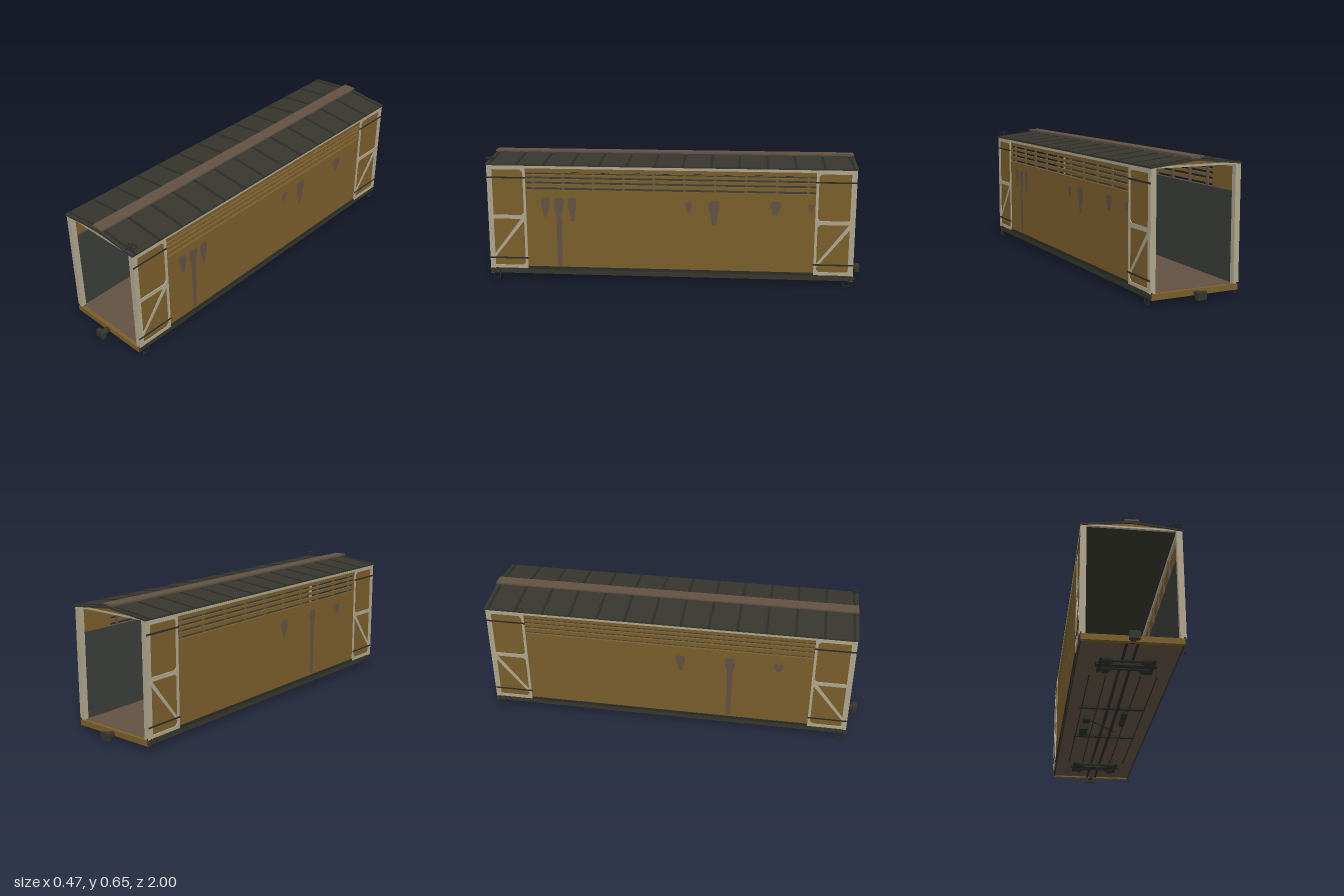
import * as THREE from 'three';

const mat = (name, color) => {
  const m = new THREE.MeshStandardMaterial({ color });
  m.name = name;
  return m;
};

export function createModel() {
  const root = new THREE.Group();
  root.name = 'boxcar';
  const ochre = mat('ochre paint', 0x7a5e2c);
  const cream = mat('cream trim', 0xaea58d);
  const dark = mat('dark roof', 0x36362e);
  const iron = mat('black iron', 0x2b2b27);
  const lining = mat('grey lining', 0x3a3d39);
  const wood = mat('weathered wood', 0x625143);

  const add = (name, geo, material, x = 0, y = 0, z = 0) => {
    const m = new THREE.Mesh(geo, material);
    m.name = name;
    m.position.set(x, y, z);
    root.add(m);
    return m;
  };
  // box given by its limits on each axis
  const box = (name, material, x0, x1, y0, y1, z0, z1) =>
    add(name, new THREE.BoxGeometry(Math.abs(x1 - x0), y1 - y0, z1 - z0), material,
      (x0 + x1) / 2, (y0 + y1) / 2, (z0 + z1) / 2);
  const shapeOf = (pts, Type = THREE.Shape) => new Type(pts.map(p => new THREE.Vector2(p[0], p[1])));
  // outline in (z, y), with its outer face at |x| = outer on side s
  const sidePlate = (name, material, shape, outer, depth, s) => {
    const g = new THREE.ExtrudeGeometry(shape, { depth, bevelEnabled: false });
    g.rotateY(-Math.PI / 2);
    return add(name, g, material, s * (outer - depth / 2) + depth / 2);
  };
  // outline in (x, y), extruded from z0 to z1
  const endPlate = (name, material, pts, z0, z1) =>
    add(name, new THREE.ExtrudeGeometry(shapeOf(pts), { depth: z1 - z0, bevelEnabled: false }), material, 0, 0, z0);
  const rod = (name, material, a, b, r) => {
    const va = new THREE.Vector3(...a), vb = new THREE.Vector3(...b);
    const m = add(name, new THREE.CylinderGeometry(r, r, va.distanceTo(vb), 8), material);
    m.position.copy(va).lerp(vb, 0.5);
    m.quaternion.setFromUnitVectors(new THREE.Vector3(0, 1, 0), vb.sub(va).normalize());
    return m;
  };
  const chamfered = (z0, z1, y0, y1, c) => [
    [z0 + c, y0], [z1 - c, y0], [z1, y0 + c], [z1, y1 - c],
    [z1 - c, y1], [z0 + c, y1], [z0, y1 - c], [z0, y0 + c]];

  // floor and end beams
  box('floor', wood, -0.222, 0.222, 0.034, 0.056, -0.925, 0.925);
  for (const e of [-1, 1])
    add('endBeam', new THREE.BoxGeometry(0.452, 0.028, 0.02), ochre, 0, 0.041, e * 0.935);

  // stains on each side: z, width, top and bottom
  const stains = {
    1: [[0.64, 0.045, 0.44, 0.34], [0.57, 0.05, 0.44, 0.08], [0.5, 0.042, 0.44, 0.32], [-0.1, 0.035, 0.43, 0.375],
      [-0.23, 0.055, 0.44, 0.31], [-0.54, 0.06, 0.44, 0.37], [-0.72, 0.025, 0.43, 0.39]],
    '-1': [[0.07, 0.05, 0.43, 0.34], [0.325, 0.05, 0.44, 0.08], [0.57, 0.045, 0.43, 0.38]],
  };

  for (const s of [1, -1]) {
    // sheathing and slatted ventilation band
    box('sideWall', ochre, s * 0.217, s * 0.229, 0.062, 0.48, -0.742, 0.742);
    box('innerLining', lining, s * 0.207, s * 0.2168, 0.056, 0.48, -0.915, 0.915);
    for (const [y0, y1] of [[0.493, 0.511], [0.523, 0.537], [0.549, 0.561], [0.573, 0.592]])
      box('slat', ochre, s * 0.218, s * 0.229, y0, y1, -0.742, 0.742);
    for (let i = 0; i < 10; i++) {
      const z = (i - 4.5) * 0.156;
      box('slatPost', wood, s * 0.208, s * 0.2178, 0.48, 0.592, z - 0.007, z + 0.007);
    }
    box('topRail', cream, s * 0.207, s * 0.232, 0.592, 0.609, -0.935, 0.935);
    box('sideSill', dark, s * 0.2215, s * 0.228, 0.03, 0.062, -0.944, 0.944);
    box('sillRail', iron, s * 0.224, s * 0.232, 0.056, 0.071, -0.742, 0.742);

    for (const [z, w, y1, y0] of stains[s]) {
      const h = y1 - y0, q = w / 2, tail = w * 0.22;
      sidePlate('stain', wood, shapeOf([
        [z - tail, y0], [z + tail, y0], [z + tail * 1.3, y1 - Math.min(0.09, h * 0.7)],
        [z + q, y1 - Math.min(0.05, h * 0.4)], [z + q, y1 - 0.008], [z + q * 0.6, y1],
        [z - q * 0.7, y1], [z - q, y1 - 0.012], [z - q, y1 - Math.min(0.045, h * 0.4)],
        [z - tail * 1.3, y1 - Math.min(0.08, h * 0.7)]]), 0.2298, 0.001, s);
    }

    for (const e of [1, -1]) {
      const zc = e * 0.84, z0 = zc - 0.1, z1 = zc + 0.1;
      // framed end panel with diagonal brace and straps
      box('endPanel', ochre, s * 0.217, s * 0.229, 0.06, 0.6, z0, z1);
      const frame = shapeOf([[z0, 0.06], [z1, 0.06], [z1, 0.608], [z0, 0.608]]);
      for (const [y0, y1] of [[0.076, 0.325], [0.345, 0.585]])
        frame.holes.push(shapeOf(chamfered(z0 + 0.013, z1 - 0.013, y0, y1, 0.014), THREE.Path));
      sidePlate('panelFrame', cream, frame, 0.2335, 0.0045, s);
      sidePlate('brace', cream, shapeOf([
        [z1 - 0.012, 0.098], [z1 - 0.012, 0.118], [z0 + 0.028, 0.327], [z0 + 0.011, 0.327], [z0 + 0.011, 0.318]]),
      0.2325, 0.0035, s);
      for (const y of [0.115, 0.543])
        box('strap', iron, s * 0.2336, s * 0.2355, y - 0.004, y + 0.004, z0 - 0.002, z1 + 0.004);

      // corner post
      const pz = e * 0.9275;
      box('cornerPost', cream, s * 0.205, s * 0.2315, 0.056, 0.606, pz - 0.0135, pz + 0.0135);

      // stirrup step
      const sz = e * 0.908, sx = s * 0.231;
      for (const d of [-0.016, 0.016]) box('stirrup', iron, sx - 0.002, sx + 0.002, 0.004, 0.06, sz + d - 0.002, sz + d + 0.002);
      box('stirrupTread', iron, sx - 0.002, sx + 0.002, 0.004, 0.008, sz - 0.018, sz + 0.018);
    }
  }

  // roof shell, ribs and running board
  endPlate('roof', dark, [[-0.235, 0.606], [-0.235, 0.615], [0, 0.639], [0.235, 0.615], [0.235, 0.606], [0, 0.63]], -0.945, 0.945);
  for (let i = 0; i < 14; i++) {
    const z = (i - 6.5) * 0.142;
    endPlate('roofRib', iron, [[-0.2355, 0.612], [-0.2355, 0.617], [0, 0.642], [0.2355, 0.617], [0.2355, 0.612], [0, 0.636]], z - 0.006, z + 0.006);
    box('boardSaddle', wood, -0.022, 0.022, 0.634, 0.645, z - 0.008, z + 0.008);
  }
  box('runningBoard', wood, -0.033, 0.033, 0.644, 0.652, -0.943, 0.943);

  // gables
  for (const e of [1, -1]) {
    const z = e * 0.934;
    endPlate('gable', ochre, [[-0.16, 0.6135], [0.16, 0.6135], [0, 0.6305]], z - 0.005, z + 0.005);
    endPlate('gableRail', cream, [[-0.231, 0.605], [0.231, 0.605], [0.15, 0.6145], [-0.15, 0.6145]], z - 0.006, z + 0.006);
  }

  // brake wheel
  const wx = 0.207, wz = 0.925;
  rod('brakeStaff', iron, [wx, 0.61, wz], [wx, 0.641, wz], 0.003);
  add('brakeWheel', new THREE.TorusGeometry(0.0245, 0.0025, 8, 24).rotateX(Math.PI / 2), iron, wx, 0.64, wz);
  add('brakeHub', new THREE.CylinderGeometry(0.007, 0.007, 0.006, 12), iron, wx, 0.64, wz);
  for (let i = 0; i < 3; i++) {
    const c = Math.cos(i * Math.PI / 3) * 0.024, d = Math.sin(i * Math.PI / 3) * 0.024;
    rod('brakeSpoke', iron, [wx - c, 0.64, wz - d], [wx + c, 0.64, wz + d], 0.002);
  }

  // couplers and trucks
  for (const e of [1, -1]) {
    add('couplerShank', new THREE.BoxGeometry(0.024, 0.02, 0.07), dark, 0, 0.037, e * 0.955);
    add('couplerHead', new THREE.BoxGeometry(0.048, 0.036, 0.022), dark, 0, 0.035, e * 0.989);
    const tz = e * 0.711;
    box('bolster', iron, -0.14, 0.14, 0.018, 0.032, tz - 0.016, tz + 0.016);
    for (const dz of [-0.043, 0.043]) {
      rod('axle', iron, [-0.11, 0.026, tz + dz], [0.11, 0.026, tz + dz], 0.007);
      for (const x of [-0.09, 0.09]) {
        rod('wheel', iron, [x - 0.014, 0.026, tz + dz], [x + 0.014, 0.026, tz + dz], 0.022)
          .geometry = new THREE.CylinderGeometry(0.022, 0.022, 0.028, 20);
        rod('wheelFlange', iron, [x - 0.024, 0.026, tz + dz], [x + 0.024, 0.026, tz + dz], 0.016);
      }
    }
    for (const x of [-0.12, 0.12]) box('truckFrame', iron, x - 0.008, x + 0.008, 0.018, 0.03, tz - 0.075, tz + 0.075);
    // cross bearer
    box('crossBearer', iron, -0.165, 0.165, 0.02, 0.034, e * 0.2 - 0.009, e * 0.2 + 0.009);
  }

  // fish-belly centre sills
  for (const s of [1, -1]) {
    sidePlate('centreSill', iron, shapeOf([[-0.93, 0.034], [-0.93, 0.028], [-0.57, 0.028], [-0.2, 0.014],
      [0.2, 0.014], [0.57, 0.028], [0.93, 0.028], [0.93, 0.034]]), 0.03, 0.012, s);
    // truss rods
    for (const x of [0.08, 0.157]) {
      rod('trussRod', iron, [s * x, 0.018, -0.61], [s * x, 0.018, 0.61], 0.003);
      for (const z of [-0.6, 0.6]) box('rodHanger', iron, s * x - 0.004, s * x + 0.004, 0.016, 0.036, z - 0.006, z + 0.006);
    }
  }

  // brake gear
  rod('airTank', iron, [0.07, 0.023, 0], [0.07, 0.023, 0.175], 0.016)
    .geometry = new THREE.CylinderGeometry(0.016, 0.016, 0.175, 16);
  box('brakeCylinder', iron, -0.135, -0.1, 0.01, 0.036, 0.02, 0.08);
  box('valveBox', iron, -0.14, -0.1, 0.01, 0.036, -0.155, -0.06);
  rod('brakeLever', iron, [-0.118, 0.024, 0.05], [0.04, 0.02, -0.1], 0.004);
  return root;
}
